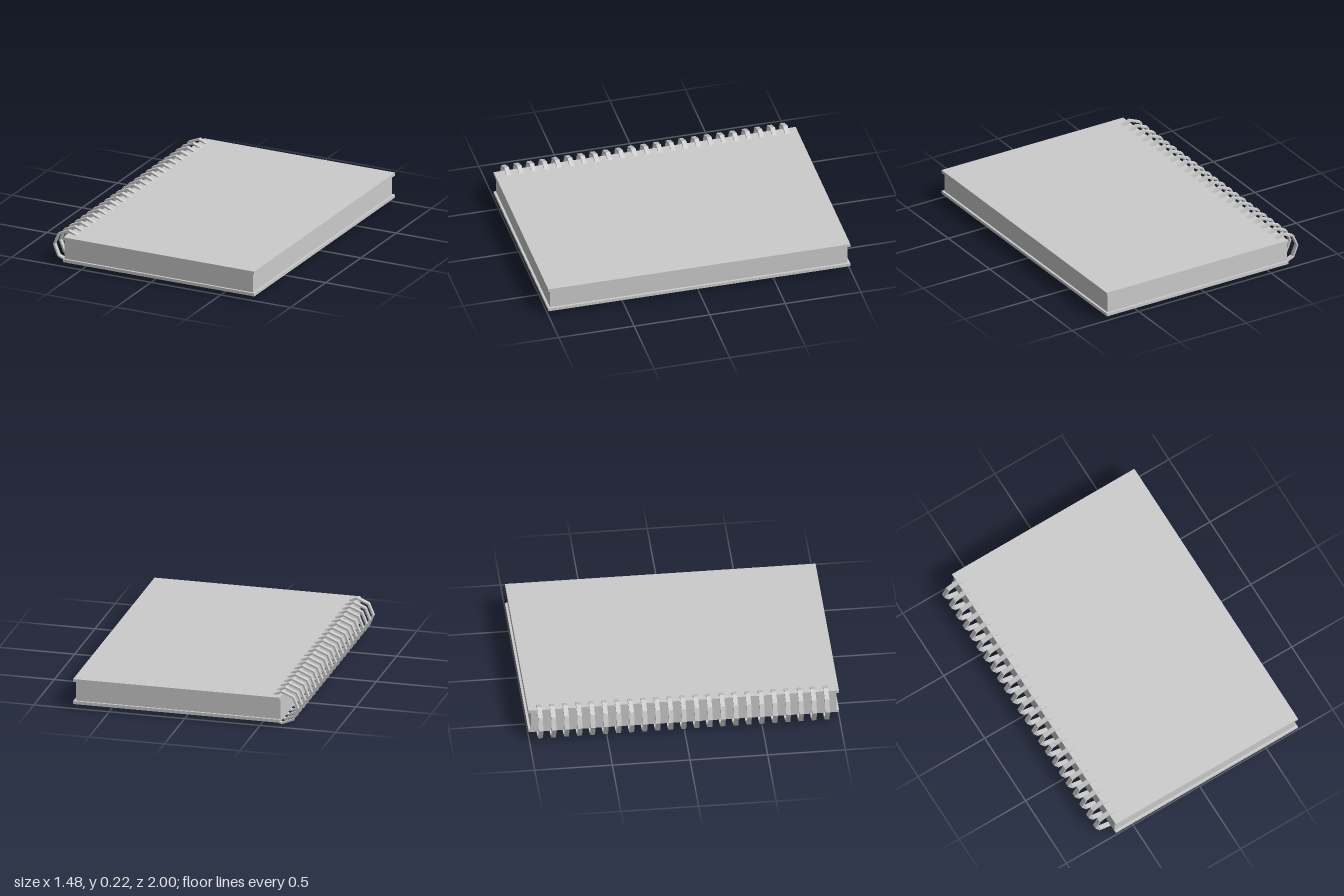
import * as THREE from 'three';

const material = new THREE.MeshStandardMaterial({ color: 0xcccccc, flatShading: true });
const midY = 0.112; // mid height of the book, and of every binding ring

function octagon(target, r) {
  target.setFromPoints(Array.from({ length: 8 }, (_, i) => {
    const a = (i * Math.PI) / 4;
    return new THREE.Vector2(r * Math.cos(a), r * Math.sin(a));
  }));
  target.closePath();
  return target;
}

export function createModel() {
  const notebook = new THREE.Group();
  notebook.name = 'spiralNotebook';

  const add = (name, geometry, x, y, z, parent = notebook) => {
    const mesh = new THREE.Mesh(geometry, material);
    mesh.name = name;
    mesh.position.set(x, y, z);
    parent.add(mesh);
  };

  // Covers overhang the page block on three sides
  const cover = new THREE.BoxGeometry(1.37, 0.02, 2);
  add('frontCover', cover, 0.055, 0.19, 0);
  add('backCover', cover, 0.055, 0.04, 0);
  add('pages', new THREE.BoxGeometry(1.355, 0.13, 1.97), 0.0475, 0.115, 0);

  // Flat eight-sided binding rings, running through covers and pages
  const binding = new THREE.Group();
  binding.name = 'binding';
  notebook.add(binding);
  const band = octagon(new THREE.Shape(), 0.112);
  band.holes.push(octagon(new THREE.Path(), 0.1));
  const depth = 0.03;
  const ring = new THREE.ExtrudeGeometry(band, { depth, bevelEnabled: false });
  ring.translate(0, 0, -depth / 2);
  const count = 23;
  for (let i = 0; i < count; i++) {
    add(`ring${i + 1}`, ring, -0.628, midY, -0.93 + (1.845 * i) / (count - 1), binding);
  }

  return notebook;
}
